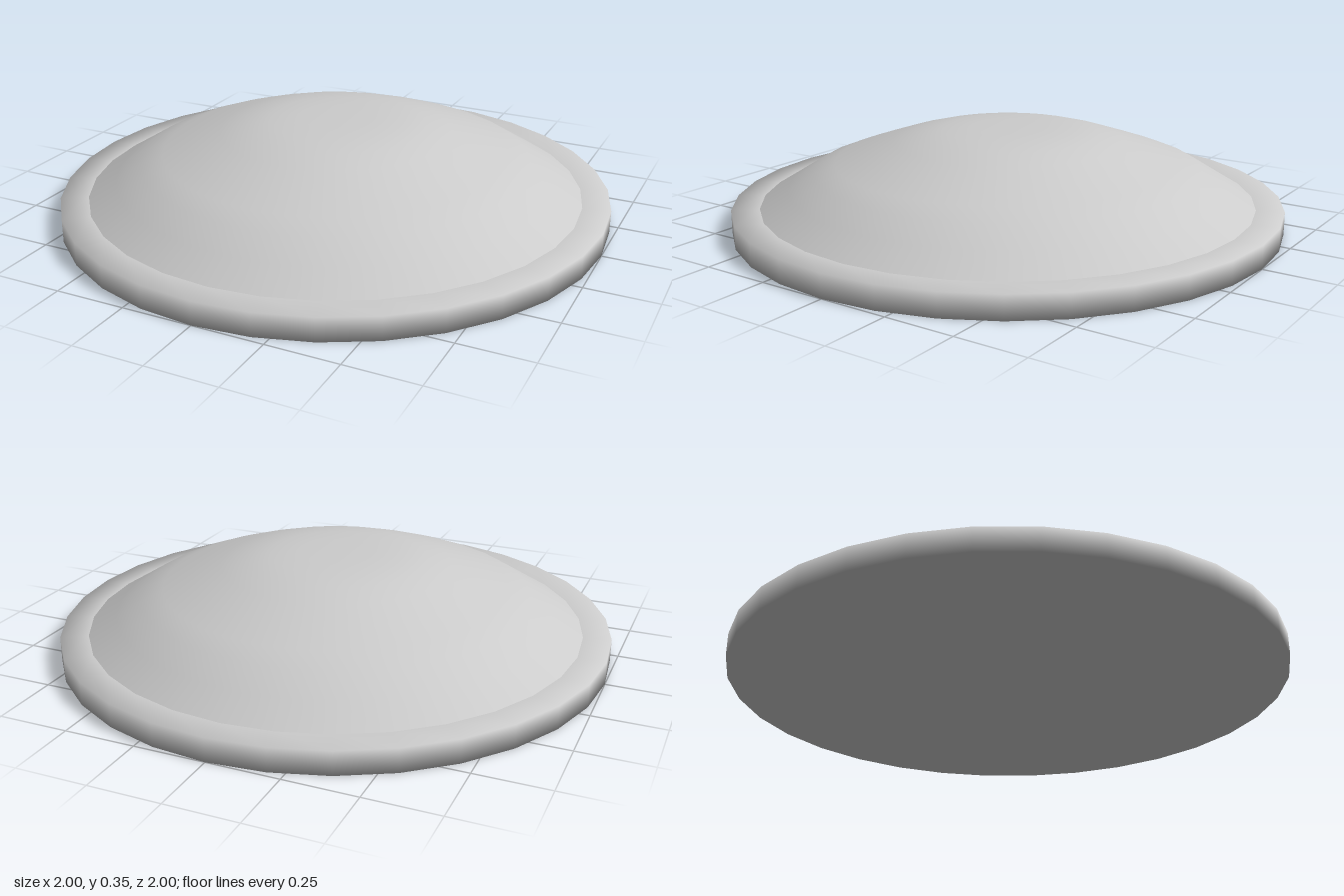
import * as THREE from 'three';

const SIDES = 32;

export function createModel() {
  const group = new THREE.Group();
  const material = new THREE.MeshStandardMaterial({ color: 0xcccccc });

  // Turn a profile of [radius, height] pairs around the y axis
  const turn = (name, profile) => {
    const points = profile.map(([r, y]) => new THREE.Vector2(r, y));
    const mesh = new THREE.Mesh(new THREE.LatheGeometry(points, SIDES), material);
    mesh.name = name;
    group.add(mesh);
  };

  // Flat base with a softly shaded rim and a narrow ledge on top
  turn('baseRim', [[0, 0], [1, 0], [1, 0.083], [0.9, 0.083]]);

  // Shallow dome with a flattened crown
  turn('dome', [
    [0.9, 0.083], [0.8, 0.144], [0.71, 0.2], [0.63, 0.231], [0.53, 0.266],
    [0.42, 0.303], [0.33, 0.327], [0.24, 0.341], [0.13, 0.347], [0, 0.347],
  ]);

  return group;
}
